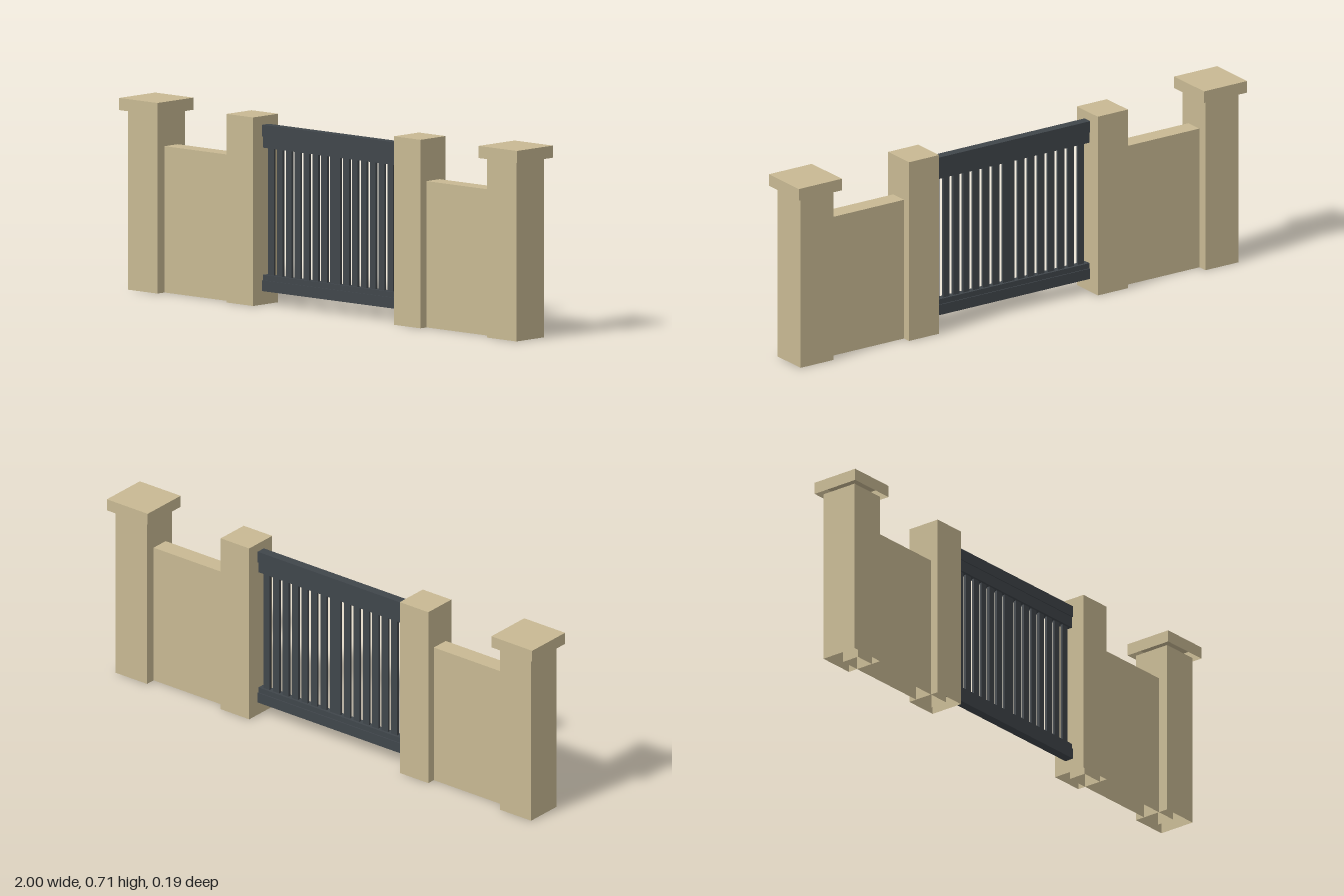
import * as THREE from 'three';

const stone = new THREE.MeshStandardMaterial({ color: 0xc8b993, side: THREE.DoubleSide });
stone.name = 'sandstone';
const metal = new THREE.MeshStandardMaterial({ color: 0x40464b });
metal.name = 'dark metal';

// Box given by its centre in x, its bottom and its top
function block(parent, name, material, x, y0, y1, width, depth, open = false) {
  const geometry = new THREE.BoxGeometry(width, y1 - y0, depth);
  if (open) {
    // Hollow shell: drop the bottom face (fourth side of the box)
    const index = Array.from(geometry.index.array);
    index.splice(18, 6);
    geometry.setIndex(index);
    geometry.clearGroups();
  }
  const mesh = new THREE.Mesh(geometry, material);
  mesh.name = name;
  mesh.position.set(x, (y0 + y1) / 2, 0);
  parent.add(mesh);
}

export function createModel() {
  const model = new THREE.Group();
  model.name = 'gateway';

  // Masonry, mirrored on both sides
  for (const side of [-1, 1]) {
    const masonry = new THREE.Group();
    masonry.name = side > 0 ? 'leftMasonry' : 'rightMasonry';
    block(masonry, 'endPillar', stone, side * 0.903, 0, 0.664, 0.147, 0.147, true);
    block(masonry, 'pillarCap', stone, side * 0.904, 0.664, 0.709, 0.192, 0.192, true);
    block(masonry, 'wall', stone, side * 0.655, 0, 0.541, 0.51, 0.07, true);
    block(masonry, 'gatePost', stone, side * 0.421, 0, 0.697, 0.134, 0.134, true);
    model.add(masonry);
  }

  // Gate rails, running a little way into the posts
  const gate = new THREE.Group();
  gate.name = 'gate';
  block(gate, 'topRail', metal, 0, 0.622, 0.665, 0.75, 0.036);
  block(gate, 'upperPanel', metal, 0, 0.58, 0.622, 0.75, 0.028);
  block(gate, 'lowerPanel', metal, 0, 0.09, 0.11, 0.75, 0.028);
  block(gate, 'bottomRail', metal, 0, 0.05, 0.09, 0.75, 0.036);

  // Upright slats with narrow gaps, and a wider one in the middle
  const pitch = 0.0445, gap = 0.016;
  block(gate, 'middleSlat', metal, 0, 0.1, 0.59, 0.05, 0.01);
  for (const side of [-1, 1]) {
    for (let i = 0; i < 7; i++) {
      const x = side * (0.033 + pitch * (i + 0.5));
      block(gate, 'slat', metal, x, 0.1, 0.59, pitch - gap, 0.01);
    }
  }
  model.add(gate);
  return model;
}
